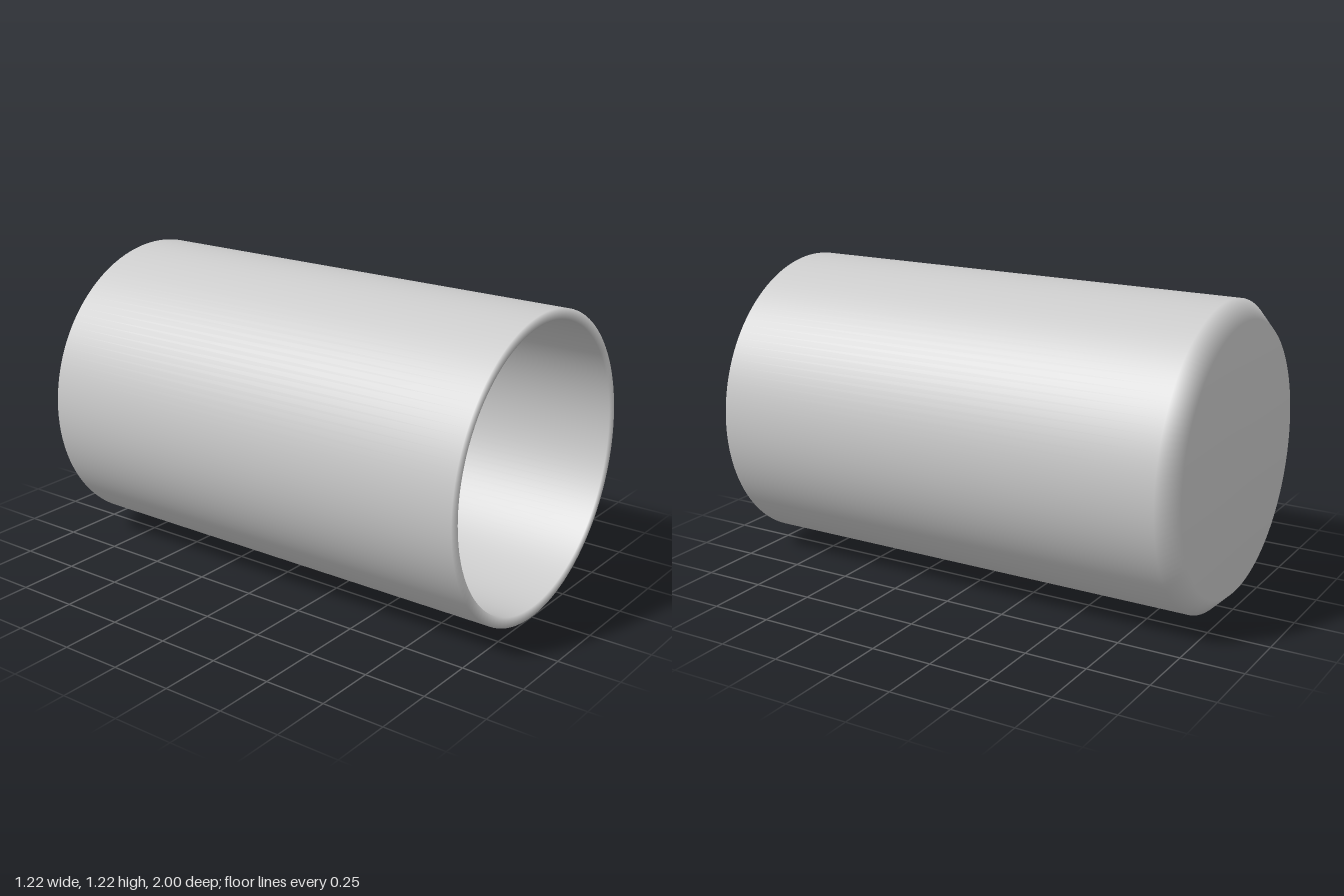
import * as THREE from 'three';

const RADIUS = 0.608;

// Smooth solid of revolution about z, from [radius, z] points
function turned(name, profile, material) {
  const points = profile.map(([r, z]) => new THREE.Vector2(r, z));
  const geometry = new THREE.LatheGeometry(points, 128);
  geometry.rotateX(Math.PI / 2);
  const mesh = new THREE.Mesh(geometry, material);
  mesh.name = name;
  mesh.position.y = RADIUS;
  return mesh;
}

export function createModel() {
  const group = new THREE.Group();
  group.name = 'cylinderCup';
  const material = new THREE.MeshStandardMaterial({ color: 0xcccccc });

  // Casing: chamfered closed back, open front with a flat rim
  group.add(turned('casing', [
    [0, -1],
    [0.536, -1],
    [RADIUS, -0.928],
    [RADIUS, 1],
    [0.566, 1],
    [0.566, -0.94],
    [0, -0.94],
  ], material));

  // Plug filling the rear half of the bore
  group.add(turned('innerPlug', [
    [0, -0.93],
    [0.559, -0.93],
    [0.559, -0.13],
    [0, -0.13],
  ], material));

  return group;
}
